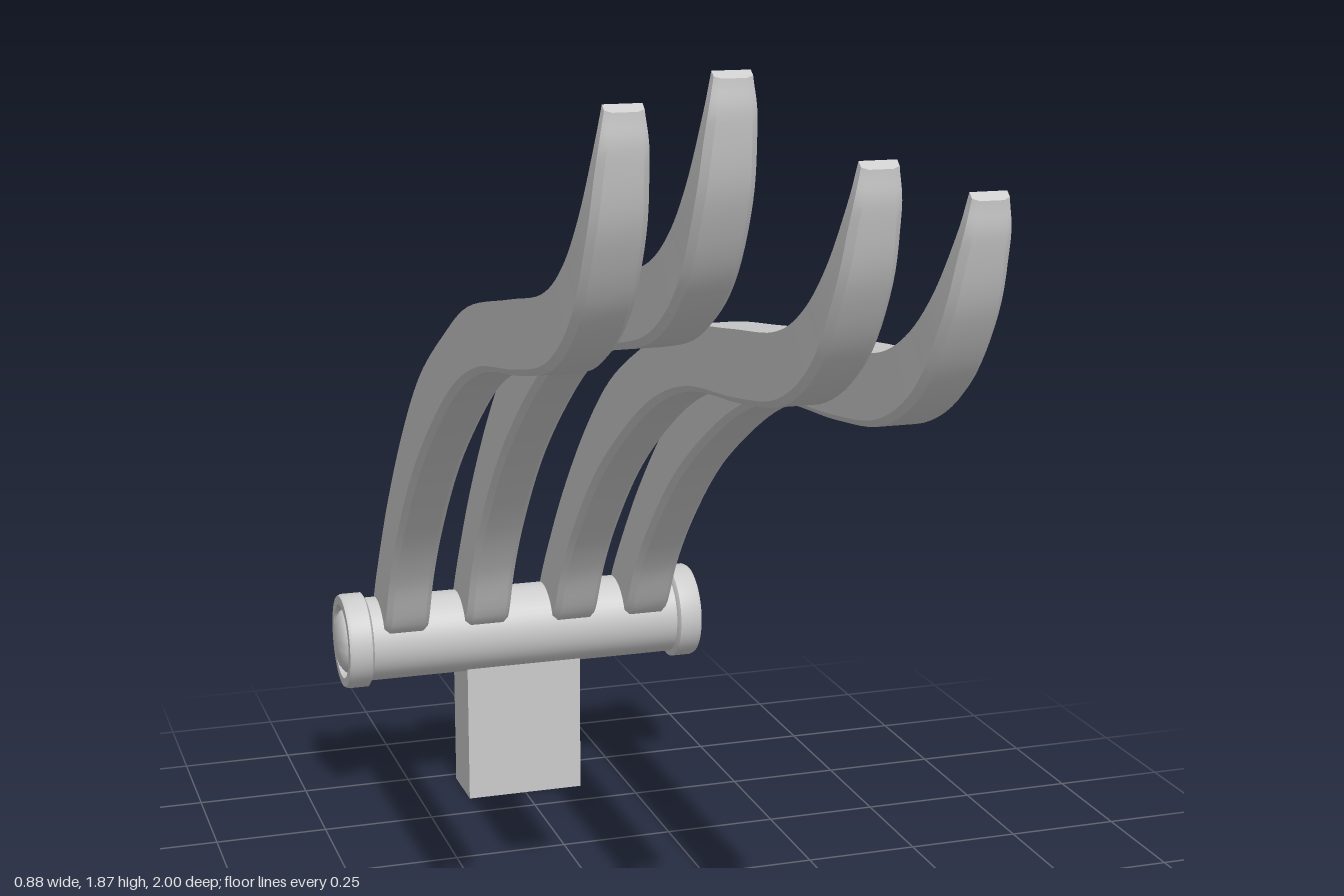
import * as THREE from 'three';
import { toCreasedNormals } from 'three/addons/utils/BufferGeometryUtils.js';

const material = new THREE.MeshStandardMaterial({ color: 0xcccccc });

function part(name, geometry) {
  const mesh = new THREE.Mesh(geometry, material);
  mesh.name = name;
  return mesh;
}

// Matching stations along the finger, [z, y] from the hinge axis, root to tip
const LOWER = [[0.03, 0.02], [0.102, 0.037], [0.182, 0.166], [0.289, 0.294], [0.456, 0.449],
  [0.654, 0.583], [0.868, 0.695], [1.083, 0.759], [1.35, 0.786], [1.565, 0.824],
  [1.726, 0.914], [1.833, 1.059], [1.879, 1.19], [1.887, 1.262]];
const UPPER = [[-0.03, 0.05], [-0.016, 0.1], [0.064, 0.209], [0.195, 0.364], [0.375, 0.54],
  [0.568, 0.687], [0.798, 0.797], [1.018, 0.877], [1.324, 0.92], [1.545, 0.95],
  [1.677, 1.005], [1.78, 1.093], [1.852, 1.205], [1.872, 1.275]];
// Half width over the last stations, narrowing to the tip
const HALF_WIDTH = [...Array(11).fill(0.051), 0.05, 0.043, 0.033];

// Finger: a box section with eased lower edges, swept between the two curves
function fingerGeometry() {
  const curve = (pts) => new THREE.CatmullRomCurve3(
    pts.map(([z, y], i) => new THREE.Vector3(HALF_WIDTH[i], y, z)), false, 'catmullrom', 0.5);
  const low = curve(LOWER), high = curve(UPPER);
  const steps = 78, sides = 6, bevel = 0.012;
  const positions = [], index = [];
  for (let s = 0; s <= steps; s++) {
    const a = low.getPoint(s / steps), b = high.getPoint(s / steps);
    const w = a.x;
    const k = Math.min(0.3, bevel / a.distanceTo(b));
    const section = [[w, 1], [-w, 1], [-w, k], [-w + bevel, 0], [w - bevel, 0], [w, k]];
    for (const [x, t] of section) {
      positions.push(x, a.y + (b.y - a.y) * t, a.z + (b.z - a.z) * t);
    }
  }
  for (let s = 0; s < steps; s++) {
    for (let i = 0; i < sides; i++) {
      const j = (i + 1) % sides, p = s * sides, q = p + sides;
      index.push(p + i, p + j, q + j, p + i, q + j, q + i);
    }
  }
  const last = steps * sides;
  for (let i = 1; i < sides - 1; i++) {
    index.push(0, i + 1, i, last, last + i, last + i + 1);
  }
  const g = new THREE.BufferGeometry();
  g.setAttribute('position', new THREE.Float32BufferAttribute(positions, 3));
  g.setIndex(index);
  return toCreasedNormals(g, 0.6);
}

// Cap: rim, shallow groove and domed button, turned about the hinge axis
function capGeometry() {
  const profile = [[0, 0.366], [0.1, 0.366], [0.11, 0.372], [0.11, 0.416], [0.106, 0.424],
    [0.086, 0.424], [0.08, 0.412], [0.074, 0.412], [0.071, 0.42], [0.057, 0.43],
    [0.035, 0.436], [0, 0.438]].map(([r, h]) => new THREE.Vector2(r, h));
  return toCreasedNormals(new THREE.LatheGeometry(profile, 48), 0.6);
}

export function createModel() {
  const model = new THREE.Group();
  model.name = 'hingedFingers';

  // Square mounting post
  const post = part('mountingPost', new THREE.BoxGeometry(0.274, 0.36, 0.137));
  post.position.set(0, 0.18, -0.903);
  model.add(post);

  // Everything else sits on the hinge axis
  const hinge = new THREE.Group();
  hinge.name = 'hinge';
  hinge.position.set(0, 0.405, -0.887);
  model.add(hinge);

  const barrel = part('barrel', new THREE.CylinderGeometry(0.097, 0.097, 0.75, 48));
  barrel.rotation.z = Math.PI / 2;
  hinge.add(barrel);

  const cap = capGeometry();
  for (const side of [1, -1]) {
    const end = part(side > 0 ? 'leftEndCap' : 'rightEndCap', cap);
    end.rotation.z = -side * Math.PI / 2;
    hinge.add(end);
  }

  // Four equal fingers, each swung up by a different angle (degrees)
  const finger = fingerGeometry();
  [[-0.288, 4.6], [-0.097, 6], [0.112, 1.6], [0.288, 0]].forEach(([x, lift], i) => {
    const mesh = part(`finger${i + 1}`, finger);
    mesh.position.x = x;
    mesh.rotation.x = -THREE.MathUtils.degToRad(lift);
    hinge.add(mesh);
  });

  return model;
}
